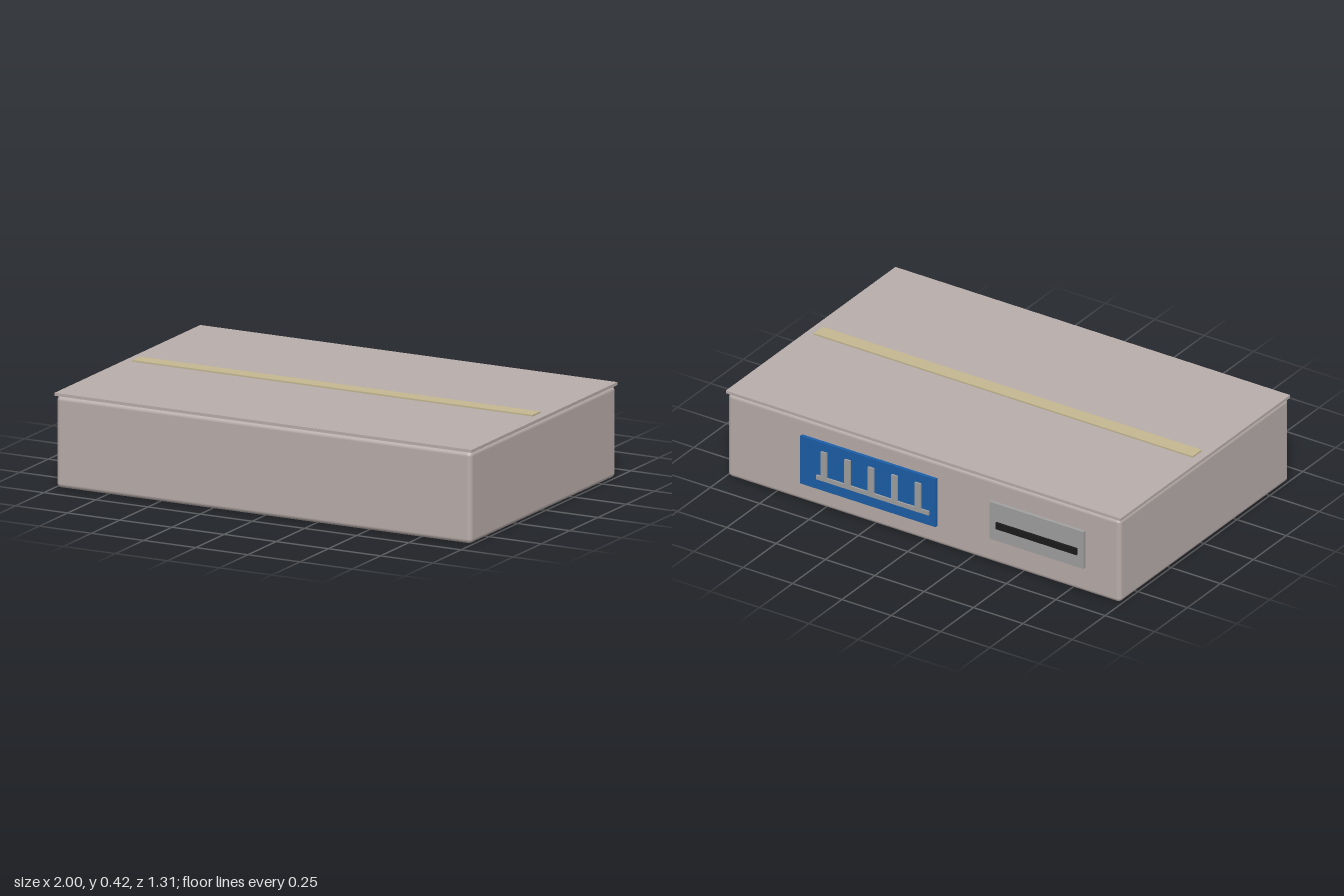
import * as THREE from 'three';
import { RoundedBoxGeometry } from 'three/addons/geometries/RoundedBoxGeometry.js';

const material = (color) => new THREE.MeshStandardMaterial({ color });

// Box given by its extents along each axis; a radius rounds its edges.
function block(name, [x0, x1], [y0, y1], [z0, z1], mat, radius = 0) {
  const size = [x1 - x0, y1 - y0, z1 - z0];
  const geometry = radius
    ? new RoundedBoxGeometry(...size, 4, radius)
    : new THREE.BoxGeometry(...size);
  const mesh = new THREE.Mesh(geometry, mat);
  mesh.name = name;
  mesh.position.set((x0 + x1) / 2, (y0 + y1) / 2, (z0 + z1) / 2);
  return mesh;
}

export function createModel() {
  const model = new THREE.Group();
  model.name = 'cartonBox';

  const shell = material(0xb8adaa);
  const blue = material(0x1c5fa8);
  const grey = material(0xa0a0a0);
  const tan = material(0xc4b791);
  const black = material(0x1c1c1c);
  const back = -0.63;

  // Rounded body, thin flat lid and the strip of tape along it
  model.add(block('body', [-0.995, 0.995], [0, 0.4], [back, 0.653], shell, 0.02));
  model.add(block('lid', [-1, 1], [0.4, 0.413], [back - 0.003, 0.655], shell));
  model.add(block('tape', [-0.96, 0.96], [0.413, 0.42], [-0.025, 0.043], tan));

  // Blue panel on the back with a raised comb of five teeth
  const panel = new THREE.Group();
  panel.name = 'bluePanel';
  const face = -0.645;
  const front = -0.653;
  panel.add(block('panelPlate', [-0.07, 0.615], [0.09, 0.32], [face, back + 0.005], blue));
  panel.add(block('combBase', [-0.04, 0.53], [0.14, 0.16], [front, face], grey));
  for (let i = 0; i < 5; i++) {
    const x = 0.015 + i * 0.119;
    panel.add(block('combTooth', [x - 0.015, x + 0.015], [0.16, 0.28], [front, face], grey));
  }
  model.add(panel);

  // Grey plate on the back with a dark bar
  const plate = new THREE.Group();
  plate.name = 'greyPlate';
  plate.add(block('plate', [-0.82, -0.345], [0.12, 0.298], [-0.645, back + 0.005], grey));
  plate.add(block('darkBar', [-0.79, -0.38], [0.182, 0.212], [-0.655, -0.645], black));
  model.add(plate);

  return model;
}
